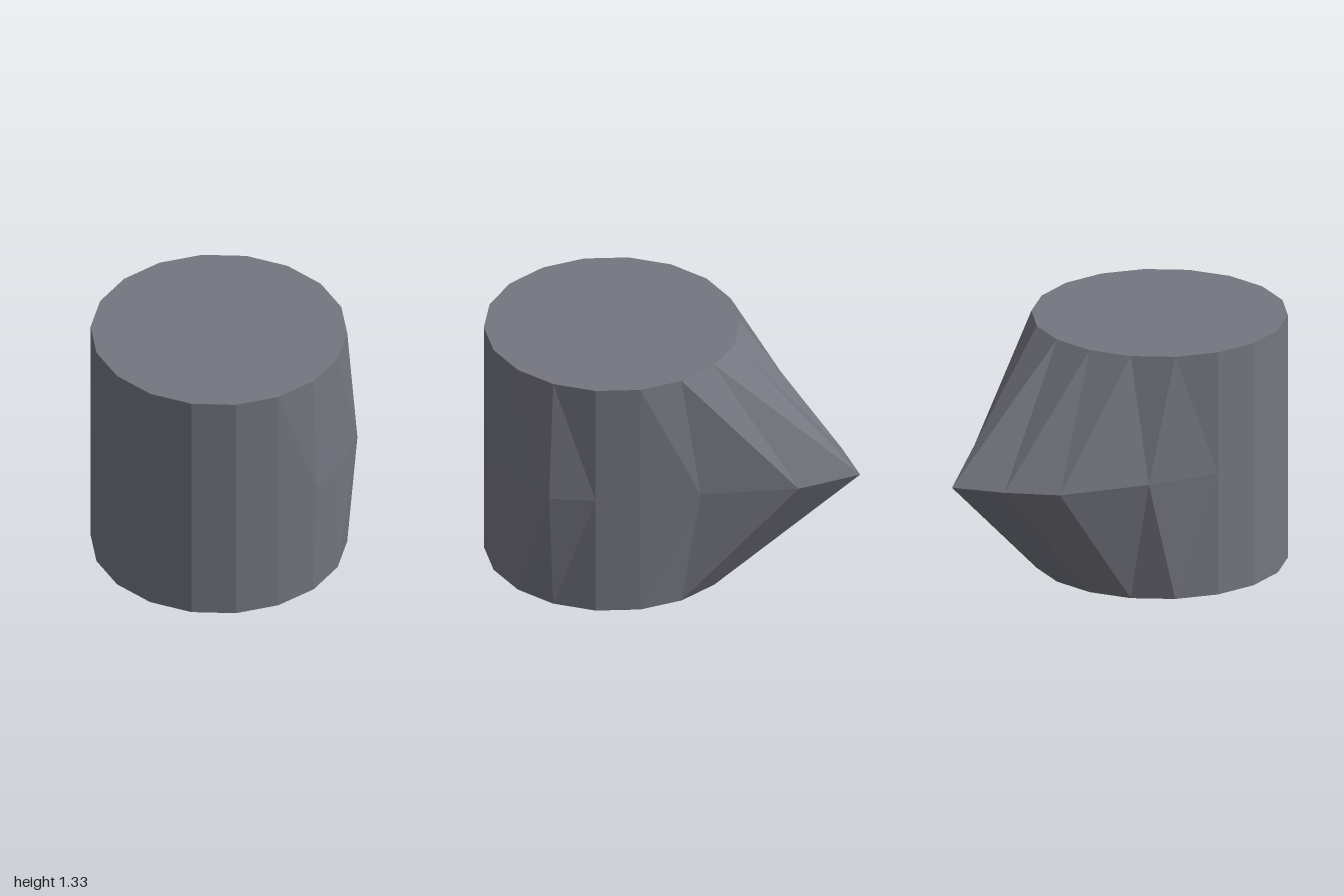
import * as THREE from 'three';

const SIDES = 18, RADIUS = 0.66, CX = -0.027, CZ = 0.335, HEIGHT = 1.325;

// Corners pulled out of the circle at mid height, keyed by side index from the back: [x, z]
const PULLED = {
  0: [-0.027, -1], 1: [0.2, -0.74], 2: [0.4, -0.275],
  5: [0.675, 0.455], 6: [0.563, 0.672], 7: [0.41, 0.86],
  15: [-0.6, -0.165], 16: [-0.452, -0.625], 17: [-0.25, -0.83],
};

function ring(y, pulled = {}) {
  return Array.from({ length: SIDES }, (_, i) => {
    const a = (i / SIDES) * Math.PI * 2;
    const [x, z] = pulled[i] ?? [CX + RADIUS * Math.sin(a), CZ - RADIUS * Math.cos(a)];
    return [x, y, z];
  });
}

function facets(name, triangles, material) {
  const geometry = new THREE.BufferGeometry();
  geometry.setAttribute('position', new THREE.Float32BufferAttribute(triangles.flat(2), 3));
  geometry.computeVertexNormals();
  const mesh = new THREE.Mesh(geometry, material);
  mesh.name = name;
  return mesh;
}

export function createModel() {
  const group = new THREE.Group();
  group.name = 'pulledDrum';
  const grey = new THREE.MeshStandardMaterial({ color: 0x74757f, flatShading: true });
  grey.name = 'slateGrey';

  const bottom = ring(0), middle = ring(HEIGHT / 2, PULLED), top = ring(HEIGHT);
  const upper = [], lower = [], lid = [], base = [];
  for (let i = 0; i < SIDES; i++) {
    const j = (i + 1) % SIDES;
    // Upper and lower walls meet at the pulled ring
    upper.push([middle[j], middle[i], top[j]], [middle[i], top[i], top[j]]);
    lower.push([bottom[j], middle[i], middle[j]], [bottom[j], bottom[i], middle[i]]);
    // End caps
    lid.push([[CX, HEIGHT, CZ], top[j], top[i]]);
    base.push([[CX, 0, CZ], bottom[i], bottom[j]]);
  }
  group.add(
    facets('upperWall', upper, grey),
    facets('lowerWall', lower, grey),
    facets('topCap', lid, grey),
    facets('bottomCap', base, grey),
  );
  return group;
}
